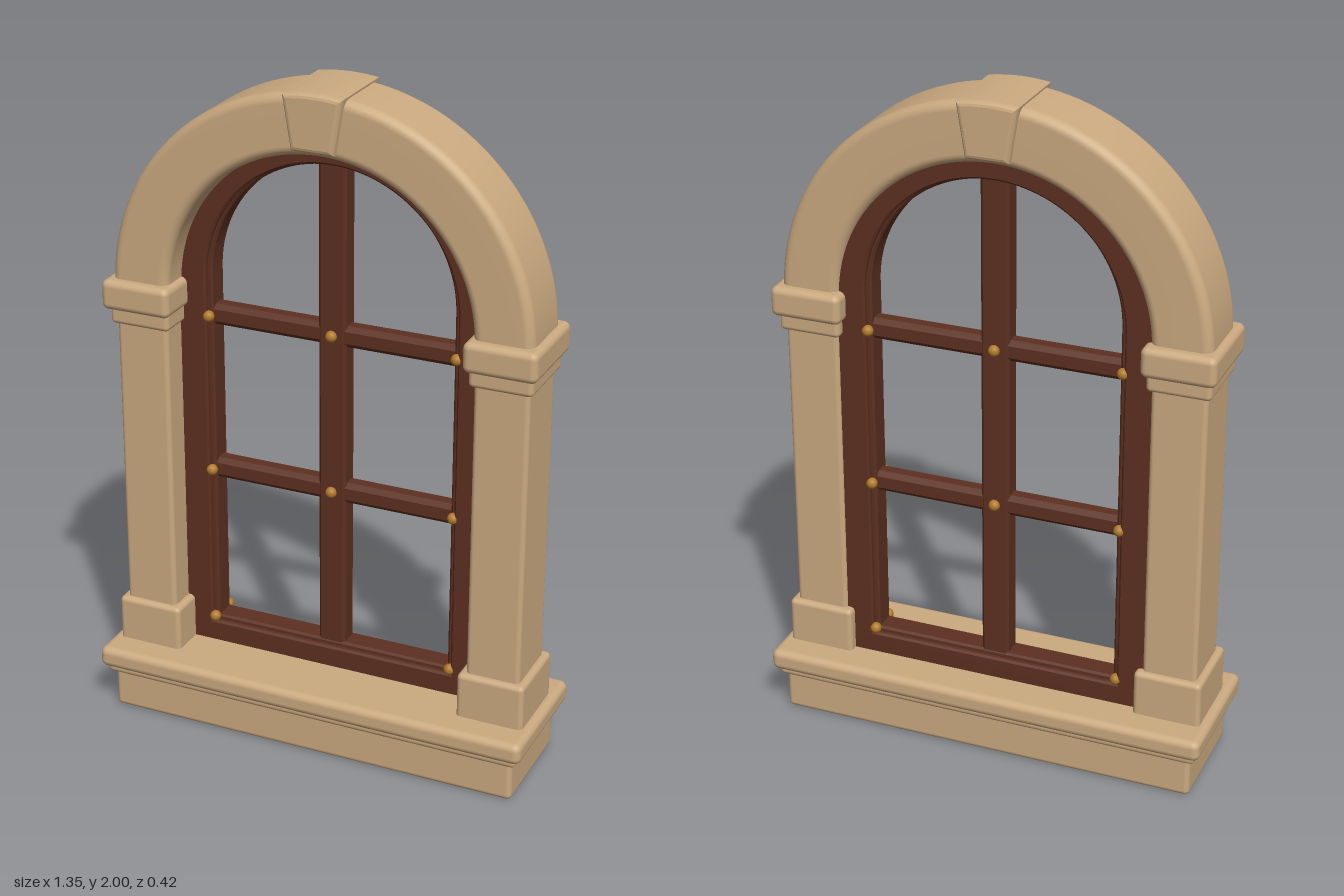
import * as THREE from 'three';
import { RoundedBoxGeometry } from 'three/addons/geometries/RoundedBoxGeometry.js';

const ARCH_Y = 1.355; // springing centre of the arch
const WIN_Z = -0.037; // window sits slightly behind the middle of the wall

export function createModel() {
  const root = new THREE.Group();
  root.name = 'archedWindow';
  const mat = (name, color) => {
    const m = new THREE.MeshStandardMaterial({ color });
    m.name = name;
    return m;
  };
  const stone = mat('sandstone', 0xcbaa80);
  const wood = mat('darkWood', 0x5c3020);
  const brass = mat('brass', 0xb07a2a);

  const add = (name, geo, material, x = 0, y = 0, z = 0) => {
    const mesh = new THREE.Mesh(geo, material);
    mesh.name = name;
    mesh.position.set(x, y, z);
    root.add(mesh);
    return mesh;
  };
  // Rounded stone block given by its x and y ranges and half depth
  const block = (name, x0, x1, y0, y1, hz, r) =>
    add(name, new RoundedBoxGeometry(x1 - x0, y1 - y0, hz * 2, 3, r), stone, (x0 + x1) / 2, (y0 + y1) / 2, 0);

  // Sill
  block('sillBase', -0.642, 0.642, 0, 0.15, 0.172, 0.015);
  block('sillCove', -0.658, 0.658, 0.12, 0.16, 0.19, 0.015);
  block('sillSlab', -0.677, 0.677, 0.142, 0.208, 0.208, 0.022);

  // Columns
  for (const s of [1, -1]) {
    const side = s > 0 ? 'left' : 'right';
    const column = (part, a, b, y0, y1, hz, r) =>
      block(side + part, Math.min(s * a, s * b), Math.max(s * a, s * b), y0, y1, hz, r);
    column('ColumnBase', 0.447, 0.65, 0.19, 0.345, 0.119, 0.015);
    column('ColumnShaft', 0.468, 0.63, 0.3, 1.27, 0.1, 0.014);
    column('CapitalNeck', 0.457, 0.643, 1.237, 1.31, 0.116, 0.014);
    column('CapitalSlab', 0.445, 0.66, 1.285, 1.375, 0.139, 0.02);
  }

  // Arch stones: a rounded profile turned about the z axis
  const profile = [];
  const [rIn, rOut, hz, c] = [0.463, 0.638, 0.108, 0.028];
  const corners = [[rIn + c, -hz + c, 180], [rOut - c, -hz + c, 270], [rOut - c, hz - c, 0], [rIn + c, hz - c, 90]];
  for (const [cx, cy, start] of corners) {
    for (let i = 0; i <= 5; i++) {
      const a = THREE.MathUtils.degToRad(start + i * 18);
      profile.push(new THREE.Vector2(cx + c * Math.cos(a), cy + c * Math.sin(a)));
    }
  }
  profile.push(profile[0].clone());
  for (let i = 0; i < 4; i++) {
    const geo = new THREE.LatheGeometry(profile, 16, Math.PI / 2 + i * Math.PI / 4, Math.PI / 4);
    geo.rotateX(Math.PI / 2); // lathe axis from y to z
    geo.rotateZ(Math.PI);
    // Keep the half ring above the springing line
    geo.computeBoundingBox();
    const b = geo.boundingBox;
    if (b.min.y + b.max.y < 0) geo.rotateZ(Math.PI);
    add('archStone' + (i + 1), geo, stone, 0, ARCH_Y, 0);
  }

  // Keystone
  const key = new THREE.Shape();
  key.moveTo(-0.052, 1.848);
  key.lineTo(0.052, 1.848);
  key.lineTo(0.074, 1.981);
  key.quadraticCurveTo(0, 1.991, -0.074, 1.981);
  key.closePath();
  add('keystone', new THREE.ExtrudeGeometry(key, {
    depth: 0.224, bevelThickness: 0.018, bevelSize: 0.014, bevelSegments: 3, curveSegments: 8,
  }), stone, 0, 0, -0.112);

  // Round-headed outline for the wooden frame
  const outline = (Type, r, y0, cy) => {
    const p = new Type();
    p.moveTo(-r, y0);
    p.lineTo(r, y0);
    p.lineTo(r, cy);
    p.absarc(0, cy, r, 0, Math.PI, false);
    p.closePath();
    return p;
  };
  const ring = (name, rOuter, yOuter, rInner, yInner, cyInner, halfDepth) => {
    const shape = outline(THREE.Shape, rOuter, yOuter, ARCH_Y + 0.005);
    shape.holes.push(outline(THREE.Path, rInner, yInner, cyInner));
    const bevel = 0.006;
    add(name, new THREE.ExtrudeGeometry(shape, {
      depth: 2 * (halfDepth - bevel), bevelThickness: bevel, bevelSize: bevel,
      bevelOffset: -bevel, bevelSegments: 1, curveSegments: 32,
    }), wood, 0, 0, WIN_Z - halfDepth + bevel);
  };
  ring('outerFrame', 0.475, 0.2, 0.387, 0.272, 1.383, 0.052);
  ring('innerSash', 0.46, 0.215, 0.372, 0.287, 1.393, 0.036);

  // Glazing bars with chamfered edges, extruded along their length
  const bar = (name, halfWidth, halfDepth, ch, length) => {
    const s = new THREE.Shape();
    const [w, d] = [halfWidth, halfDepth];
    [[w, -d + ch], [w, d - ch], [w - ch, d], [-w + ch, d], [-w, d - ch], [-w, -d + ch], [-w + ch, -d], [w - ch, -d]]
      .forEach(([x, y], i) => (i ? s.lineTo(x, y) : s.moveTo(x, y)));
    s.closePath();
    const geo = new THREE.ExtrudeGeometry(s, { depth: length, bevelEnabled: false });
    geo.translate(0, 0, -length / 2);
    geo.rotateX(Math.PI / 2); // length runs along y
    return add(name, geo, wood, 0, 0, WIN_Z);
  };
  const mullion = bar('mullion', 0.042, 0.033, 0.008, 1.53);
  mullion.position.y = 1.02;
  for (const [name, y] of [['lowerCrossbar', 0.776], ['upperCrossbar', 1.263]]) {
    const crossbar = bar(name, 0.032, 0.03, 0.014, 0.78);
    crossbar.rotation.z = Math.PI / 2;
    crossbar.position.y = y;
  }

  // Brass studs on both faces
  const studGeo = new THREE.SphereGeometry(0.017, 14, 10);
  for (const [x, y] of [[0, 0.776], [0, 1.263], [0.382, 0.776], [0.382, 1.263], [0.382, 0.285]]) {
    for (const s of x ? [1, -1] : [1]) {
      for (const f of [1, -1]) add('stud', studGeo, brass, x * s, y, WIN_Z + f * (x ? 0.044 : 0.036));
    }
  }
  return root;
}
